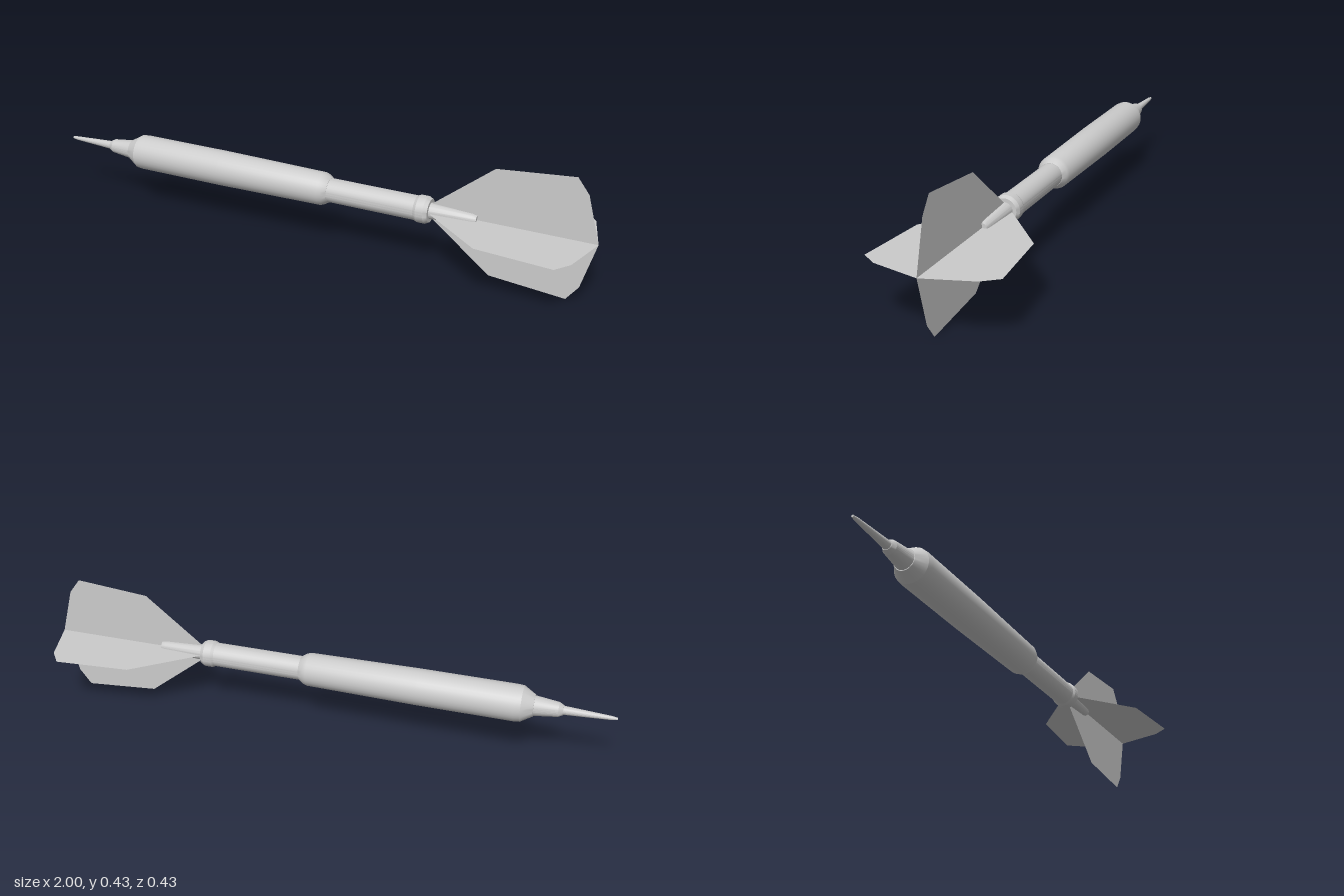
import * as THREE from 'three';
import { toCreasedNormals } from 'three/addons/utils/BufferGeometryUtils.js';

const AXIS_Y = 0.217;

export function createModel() {
  const model = new THREE.Group();
  model.name = 'dart';
  const material = new THREE.MeshStandardMaterial({ color: 0xcccccc });
  const thin = new THREE.MeshStandardMaterial({ color: 0xcccccc, side: THREE.DoubleSide });

  // Turned part along x, from [x, radius] pairs, closed at both ends
  function turned(name, profile) {
    const points = profile.map(([x, r]) => new THREE.Vector2(r, x));
    points.unshift(new THREE.Vector2(0, profile[0][0]));
    points.push(new THREE.Vector2(0, profile[profile.length - 1][0]));
    const geometry = toCreasedNormals(new THREE.LatheGeometry(points, 32), 0.35);
    geometry.rotateZ(-Math.PI / 2);
    const mesh = new THREE.Mesh(geometry, material);
    mesh.name = name;
    mesh.position.y = AXIS_Y;
    model.add(mesh);
  }

  turned('point', [[-1, 0.004], [-0.98, 0.007], [-0.81, 0.016]]);
  turned('nose', [[-0.825, 0.017], [-0.81, 0.025], [-0.725, 0.035], [-0.71, 0.039]]);
  turned('barrel', [[-0.73, 0.037], [-0.69, 0.061], [-0.67, 0.063], [-0.34, 0.063],
    [0.05, 0.058], [0.063, 0.054], [0.08, 0.043]]);
  turned('shaft', [[0.07, 0.042], [0.41, 0.042]]);
  turned('collar', [[0.395, 0.042], [0.405, 0.047], [0.432, 0.047], [0.445, 0.04]]);
  turned('flightHolder', [[0.44, 0.028], [0.59, 0.02], [0.605, 0.016]]);

  // Four thin fins meeting on the axis
  const outline = [[0.44, 0], [0.44, 0.02], [0.655, 0.193], [0.915, 0.216], [0.955, 0.163], [1, 0]];
  const finGeometry = new THREE.ShapeGeometry(
    new THREE.Shape(outline.map(([x, y]) => new THREE.Vector2(x, y))));
  for (let i = 0; i < 4; i++) {
    const fin = new THREE.Mesh(finGeometry, thin);
    fin.name = `fin${i + 1}`;
    fin.position.y = AXIS_Y;
    fin.rotation.x = i * Math.PI / 2;
    model.add(fin);
  }
  return model;
}
